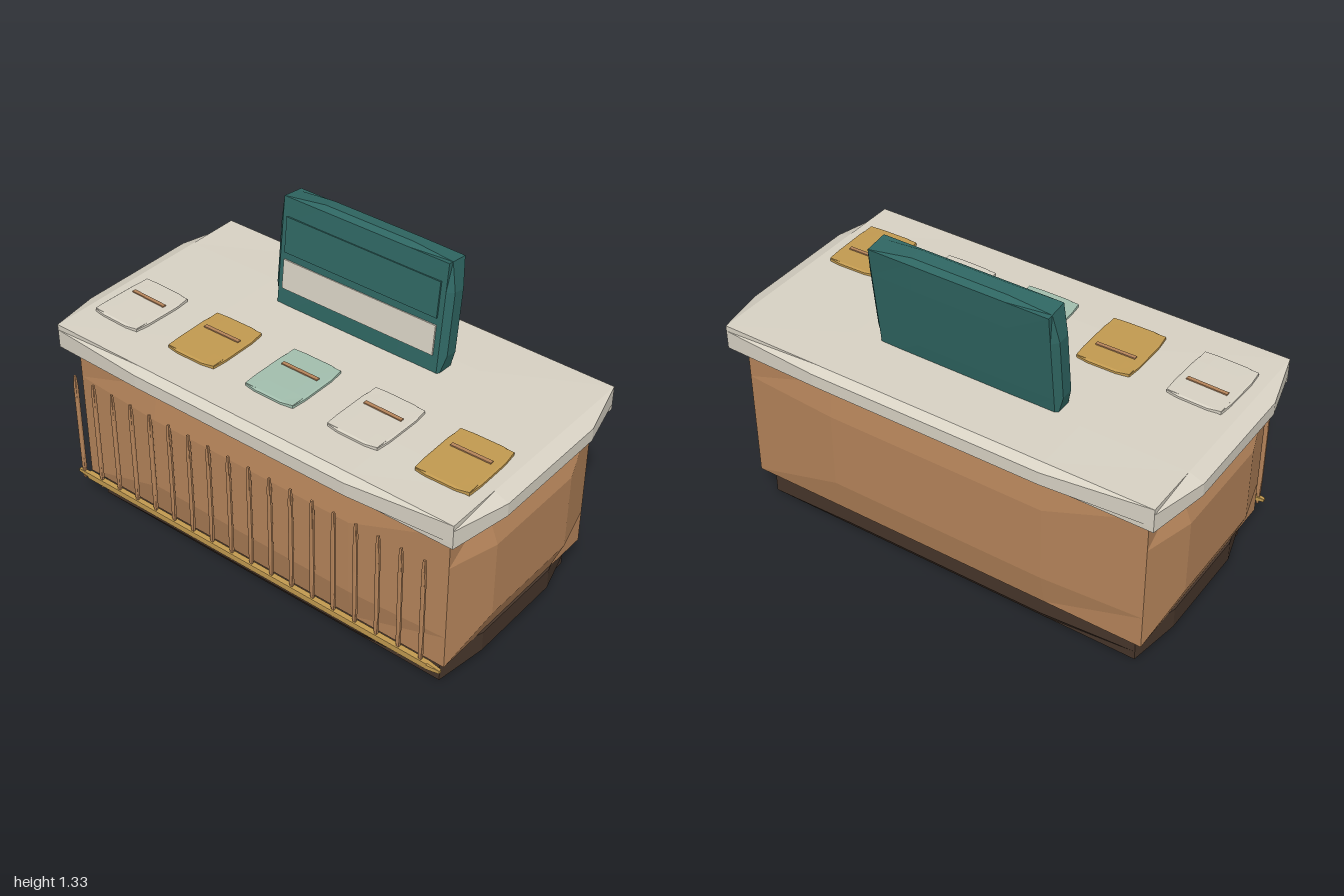
import * as THREE from 'three';

const paint = (name, color) => {
  const m = new THREE.MeshStandardMaterial({ color, flatShading: true });
  m.name = name;
  return m;
};

// Box whose edges and corners are drawn in, leaving slightly bulging faces
function softBox(w, h, d, pull = 0.94) {
  const g = new THREE.BoxGeometry(w, h, d, 4, 4, 4);
  const p = g.attributes.position;
  const half = [w / 2, h / 2, d / 2];
  for (let i = 0; i < p.count; i++) {
    const v = [p.getX(i), p.getY(i), p.getZ(i)];
    const outer = v.map((c, k) => Math.abs(c) > half[k] * 0.99);
    if (outer.filter(Boolean).length > 1) {
      p.setXYZ(i, ...v.map((c, k) => (outer[k] ? c * pull : c)));
    }
  }
  g.computeVertexNormals();
  return g;
}

export function createModel() {
  const wood = paint('wood', 0xb5845a);
  const dark = paint('darkWood', 0x46352a);
  const stone = paint('paleStone', 0xd8d2c4);
  const teal = paint('teal', 0x2f6662);
  const gold = paint('gold', 0xc29a50);
  const mint = paint('mint', 0xa3bfae);

  const model = new THREE.Group();
  model.name = 'counter';
  const add = (name, geometry, material, x, y, z, parent = model) => {
    const mesh = new THREE.Mesh(geometry, material);
    mesh.name = name;
    mesh.position.set(x, y, z);
    parent.add(mesh);
    return mesh;
  };

  // Counter body
  add('plinth', softBox(1.81, 0.18, 0.87), dark, 0, 0.09, 0);
  add('body', softBox(1.9, 0.66, 0.95), wood, 0, 0.437, 0);
  add('worktop', softBox(2, 0.11, 1.07), stone, 0, 0.807, 0);

  // Front slats and the rail holding them
  const slat = softBox(0.018, 0.51, 0.016, 0.8);
  for (let i = 0; i < 18; i++) {
    add('slat', slat, wood, -0.883 + i * 0.1003, 0.38, 0.493);
  }
  add('rail', softBox(1.82, 0.028, 0.024), gold, 0, 0.152, 0.493);

  // Leaning sign with face panels
  const sign = new THREE.Group();
  sign.name = 'sign';
  sign.position.set(0, 1.06, -0.227);
  sign.rotation.x = -0.12;
  model.add(sign);
  add('signBoard', softBox(0.82, 0.53, 0.105), teal, 0, 0, 0, sign);
  add('signPanel', new THREE.BoxGeometry(0.725, 0.15, 0.009), teal, 0, 0.095, 0.0525, sign);
  add('signStripe', new THREE.BoxGeometry(0.725, 0.125, 0.009), stone, 0, -0.073, 0.0525, sign);

  // Row of cards, each with a small slot bar
  const card = softBox(0.24, 0.018, 0.295);
  const bar = new THREE.BoxGeometry(0.17, 0.008, 0.016);
  const cards = [stone, gold, mint, stone, gold];
  cards.forEach((material, i) => {
    const tray = new THREE.Group();
    tray.name = 'cardHolder';
    tray.position.set((i - 2) * 0.387, 0.866, 0.208);
    tray.rotation.y = [-0.03, 0.01, 0, -0.01, 0.02][i];
    model.add(tray);
    add('card', card, material, 0, 0, 0, tray);
    add('slotBar', bar, wood, 0, 0.01, -0.04, tray);
  });

  return model;
}
